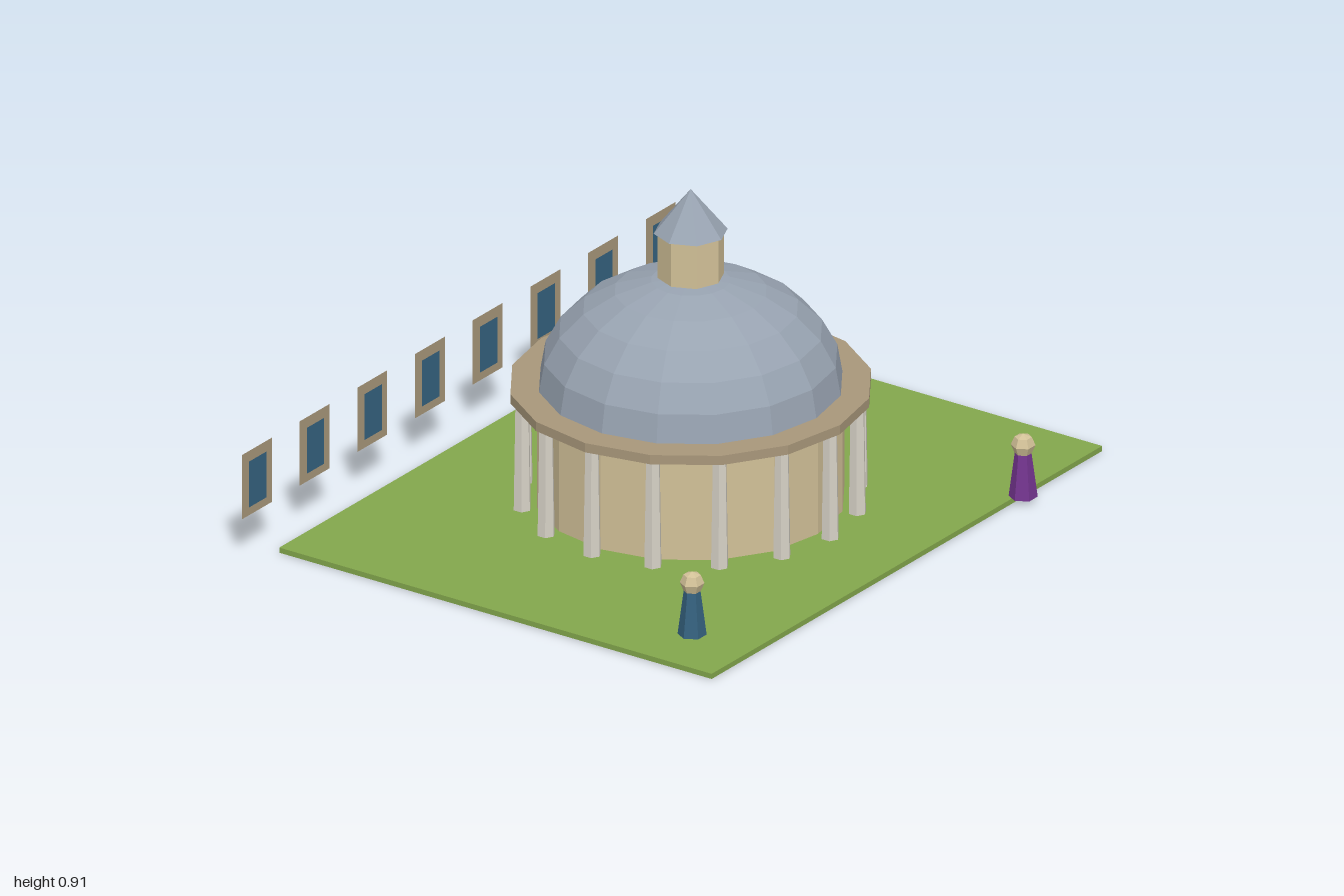
import * as THREE from 'three';

function material(name, color, side = THREE.FrontSide) {
  const m = new THREE.MeshStandardMaterial({ color, flatShading: true, side });
  m.name = name;
  return m;
}

export function createModel() {
  const grass = material('grass green', 0x83a74c);
  const wall = material('cream wall', 0xd2c198);
  const trim = material('brown trim', 0xa8977a, THREE.DoubleSide);
  const stone = material('pale stone', 0xd6d1c6);
  const slate = material('slate blue grey', 0x98a3b1);
  const blue = material('deep blue', 0x35627f);
  const purple = material('purple', 0x74358f);

  const model = new THREE.Group();
  model.name = 'domedRotunda';

  function add(parent, name, geometry, mat, x = 0, y = 0, z = 0) {
    const mesh = new THREE.Mesh(geometry, mat);
    mesh.name = name;
    mesh.position.set(x, y, z);
    parent.add(mesh);
    return mesh;
  }

  const base = 0.015;
  const cz = 0.004; // the lawn and building sit a hair forward of centre

  add(model, 'lawn', new THREE.BoxGeometry(1.8, base, 1.41), grass, 0, base / 2, cz);

  // Round hall with its ring of columns
  const hall = new THREE.Group();
  hall.name = 'hall';
  hall.position.z = cz;
  model.add(hall);

  const hallHeight = 0.325 - base;
  const midY = base + hallHeight / 2;
  add(hall, 'drum', new THREE.CylinderGeometry(0.415, 0.415, hallHeight, 16), wall, 0, midY);
  add(hall, 'cornice', new THREE.CylinderGeometry(0.487, 0.487, 0.027, 16), trim, 0, 0.3385);

  const columnGeometry = new THREE.CylinderGeometry(0.02, 0.025, hallHeight, 6);
  for (let i = 0; i < 16; i++) {
    const a = (i / 16) * Math.PI * 2;
    add(hall, 'column', columnGeometry, stone, Math.sin(a) * 0.455, midY, Math.cos(a) * 0.455);
  }

  // Squashed dome, lantern and spire
  const domeGeometry = new THREE.SphereGeometry(0.41, 16, 6, 0, Math.PI * 2, 0, Math.PI / 2);
  domeGeometry.scale(1, 0.755, 1);
  add(hall, 'dome', domeGeometry, slate, 0, 0.351);
  add(hall, 'lantern', new THREE.CylinderGeometry(0.09, 0.09, 0.13, 8), wall, 0, 0.727);
  add(hall, 'spire', new THREE.ConeGeometry(0.1, 0.123, 8), slate, 0, 0.853);

  // Robed figures
  const robeGeometry = new THREE.CylinderGeometry(0.022, 0.039, 0.13, 6);
  robeGeometry.rotateY(Math.PI / 6);
  const headGeometry = new THREE.SphereGeometry(0.033, 6, 4);
  for (const [robe, x, z] of [[blue, -0.72, 0.518], [purple, 0.515, 0.724], [stone, 0.77, -0.512]]) {
    const figure = new THREE.Group();
    figure.name = 'figure';
    figure.position.set(x, base, z);
    add(figure, 'robe', robeGeometry, robe, 0, 0.065);
    add(figure, 'head', headGeometry, wall, 0, 0.15);
    model.add(figure);
  }

  // Row of framed panels behind the lawn
  const frameGeometry = new THREE.PlaneGeometry(0.138, 0.188);
  const paneGeometry = new THREE.PlaneGeometry(0.08, 0.134);
  for (let i = 0; i < 8; i++) {
    const x = -0.931 + (i * 1.862) / 7;
    add(model, 'panelFrame', frameGeometry, trim, x, 0.215, -0.752);
    add(model, 'panelPane', paneGeometry, blue, x, 0.213, -0.749);
  }

  return model;
}
